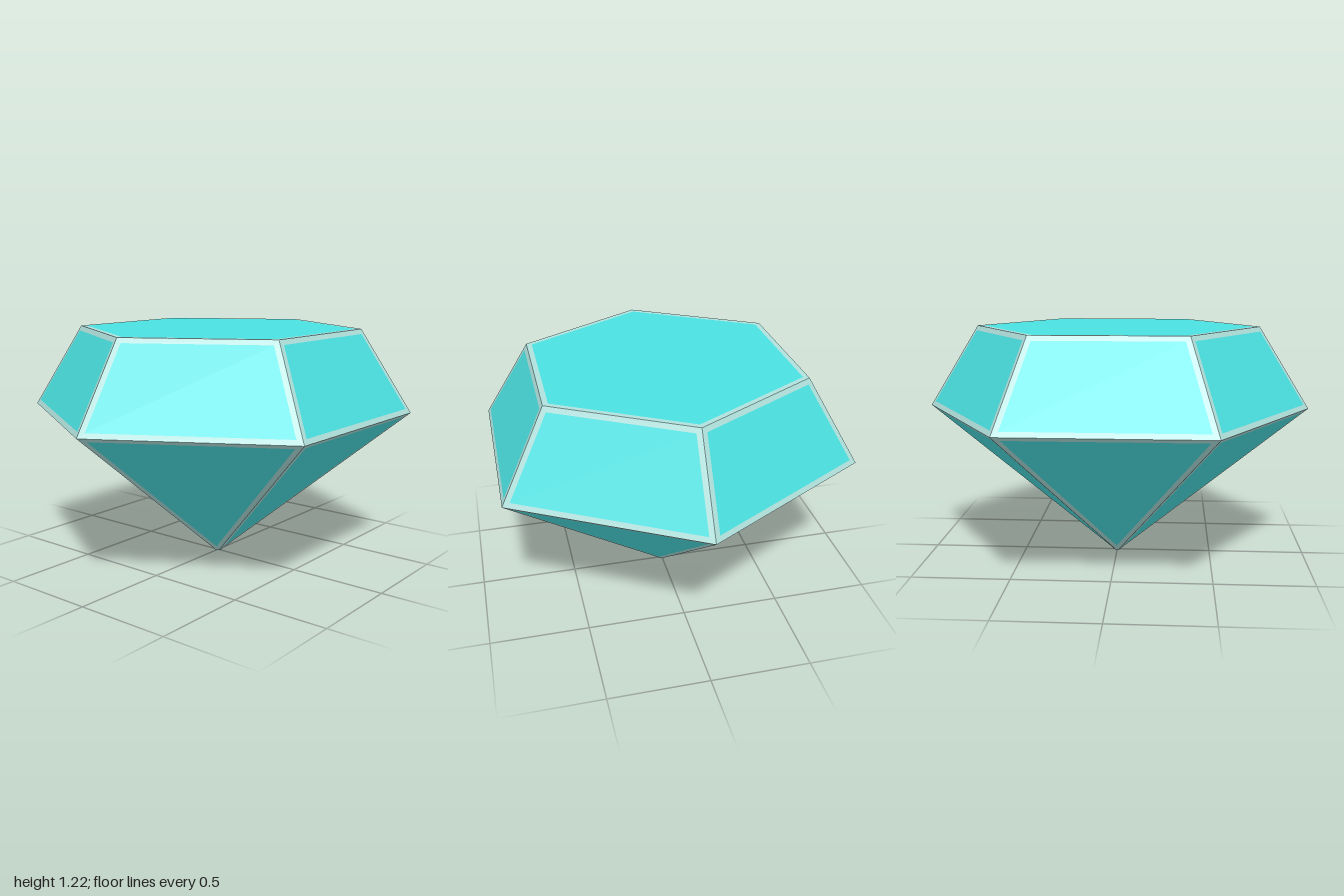
import * as THREE from 'three';

const SIDES = 6;
const BORDER = 0.027;

// Point on a hexagonal ring of the gem
const ring = (r, y, k) => {
  const a = (k / SIDES) * Math.PI * 2;
  return new THREE.Vector3(r * Math.cos(a), y, r * Math.sin(a));
};

// Move every edge of a flat convex polygon inwards by d
function inset(pts, d) {
  const n = pts.length;
  return pts.map((p, i) => {
    const u = pts[(i + 1) % n].clone().sub(p).normalize();
    const v = pts[(i + n - 1) % n].clone().sub(p).normalize();
    const s = d / Math.sin(u.angleTo(v));
    return p.clone().addScaledVector(u, s).addScaledVector(v, s);
  });
}

// Fan of triangles for a convex polygon given anticlockwise
function addPolygon(out, pts) {
  for (let i = 1; i < pts.length - 1; i++) out.push(pts[0], pts[i], pts[i + 1]);
}

// Strip between an outline and its inset
function addFrame(out, outer, inner) {
  outer.forEach((p, i) => {
    const j = (i + 1) % outer.length;
    addPolygon(out, [p, outer[j], inner[j], inner[i]]);
  });
}

function makeMesh(name, points, color) {
  const geometry = new THREE.BufferGeometry().setFromPoints(points);
  geometry.computeVertexNormals();
  const mesh = new THREE.Mesh(geometry, new THREE.MeshStandardMaterial({ color, flatShading: true }));
  mesh.name = name;
  return mesh;
}

export function createModel() {
  const table = [], crown = [], pavilion = [], edges = [];

  // Ring radii and heights, from top to tip
  const top = (k) => ring(0.735, 1.215, k);
  const girdle = (k) => ring(1, 0.79, k);
  const tip = (k) => ring(0.03, 0.012, k);
  const culet = (k) => ring(0.018, 0, k);
  const apex = new THREE.Vector3(0, -0.012, 0); // where the lower facets would meet

  // Flat top facet
  const topOutline = Array.from({ length: SIDES }, (_, k) => top(SIDES - k));
  const topPanel = inset(topOutline, BORDER);
  addPolygon(table, topPanel);
  addFrame(edges, topOutline, topPanel);

  for (let k = 0; k < SIDES; k++) {
    // Sloping upper facet
    const upper = [girdle(k + 1), girdle(k), top(k), top(k + 1)];
    const upperPanel = inset(upper, BORDER);
    addPolygon(crown, upperPanel);
    addFrame(edges, upper, upperPanel);

    // Long lower facet, its panel narrowing to a point
    const [a, b, c] = inset([apex, girdle(k), girdle(k + 1)], BORDER);
    addPolygon(pavilion, [a, b, c]);
    addFrame(edges, [tip(k + 1), tip(k), girdle(k), girdle(k + 1)], [a, a, b, c]);

    // Blunted tip
    addPolygon(edges, [culet(k + 1), culet(k), tip(k), tip(k + 1)]);
  }
  addPolygon(edges, Array.from({ length: SIDES }, (_, k) => culet(k)));

  const gem = new THREE.Group();
  gem.name = 'gem';
  const teal = 0x4be0e0;
  gem.add(
    makeMesh('topFacet', table, teal),
    makeMesh('upperFacets', crown, teal),
    makeMesh('lowerFacets', pavilion, teal),
    makeMesh('facetBorders', edges, 0xb0e0dc)
  );
  return gem;
}
